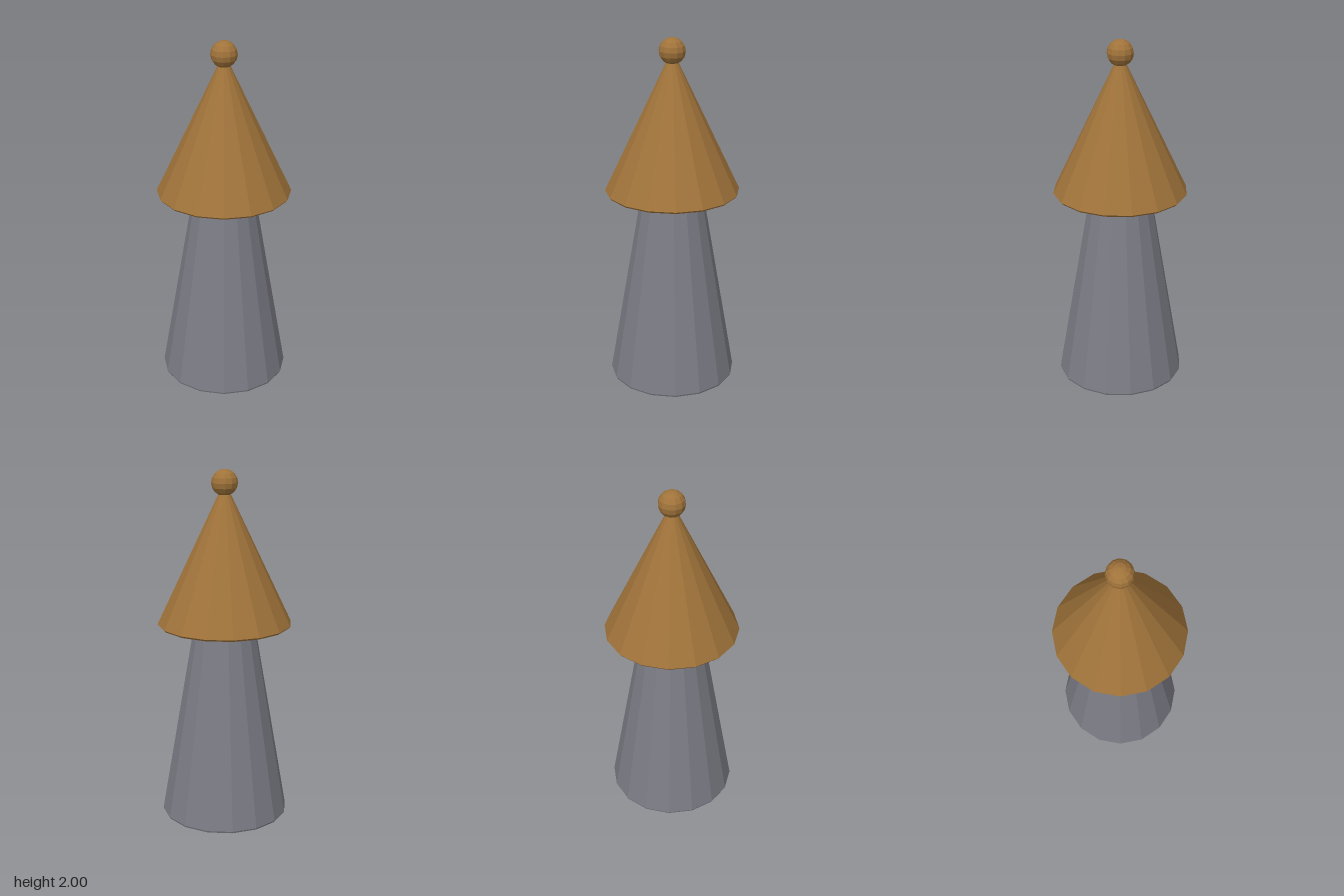
import * as THREE from 'three';

const SIDES = 16;

function material(name, color, open) {
  const m = new THREE.MeshStandardMaterial({ color, flatShading: true });
  m.name = name;
  if (open) m.side = THREE.DoubleSide;
  return m;
}

// Open faceted shell from [radius, height] pairs, listed bottom to top,
// turned half a side so that a flat facet faces the front
function shell(name, profile, mat) {
  const points = profile.map(([r, y]) => new THREE.Vector2(r, y));
  const mesh = new THREE.Mesh(new THREE.LatheGeometry(points, SIDES, Math.PI / SIDES), mat);
  mesh.name = name;
  return mesh;
}

export function createModel() {
  const model = new THREE.Group();
  model.name = 'coneRoofTower';
  const stone = material('grey stone', 0x7c7c86, true);
  const roof = material('brown roof', 0xa0733a, true);

  // Tapered hollow tower with a fine bevel at its foot
  model.add(shell('tower', [[0.362, 0], [0.366, 0.01], [0.173, 1.13]], stone));

  // Hollow conical roof with a fine bevel at the eave
  model.add(shell('roof', [[0.372, 1.13], [0.38, 1.14], [0, 1.935]], roof));

  // Ball on the tip
  const ball = new THREE.Mesh(new THREE.SphereGeometry(0.074, 12, 8), roof);
  ball.name = 'finial';
  ball.position.y = 1.926;
  model.add(ball);

  return model;
}
